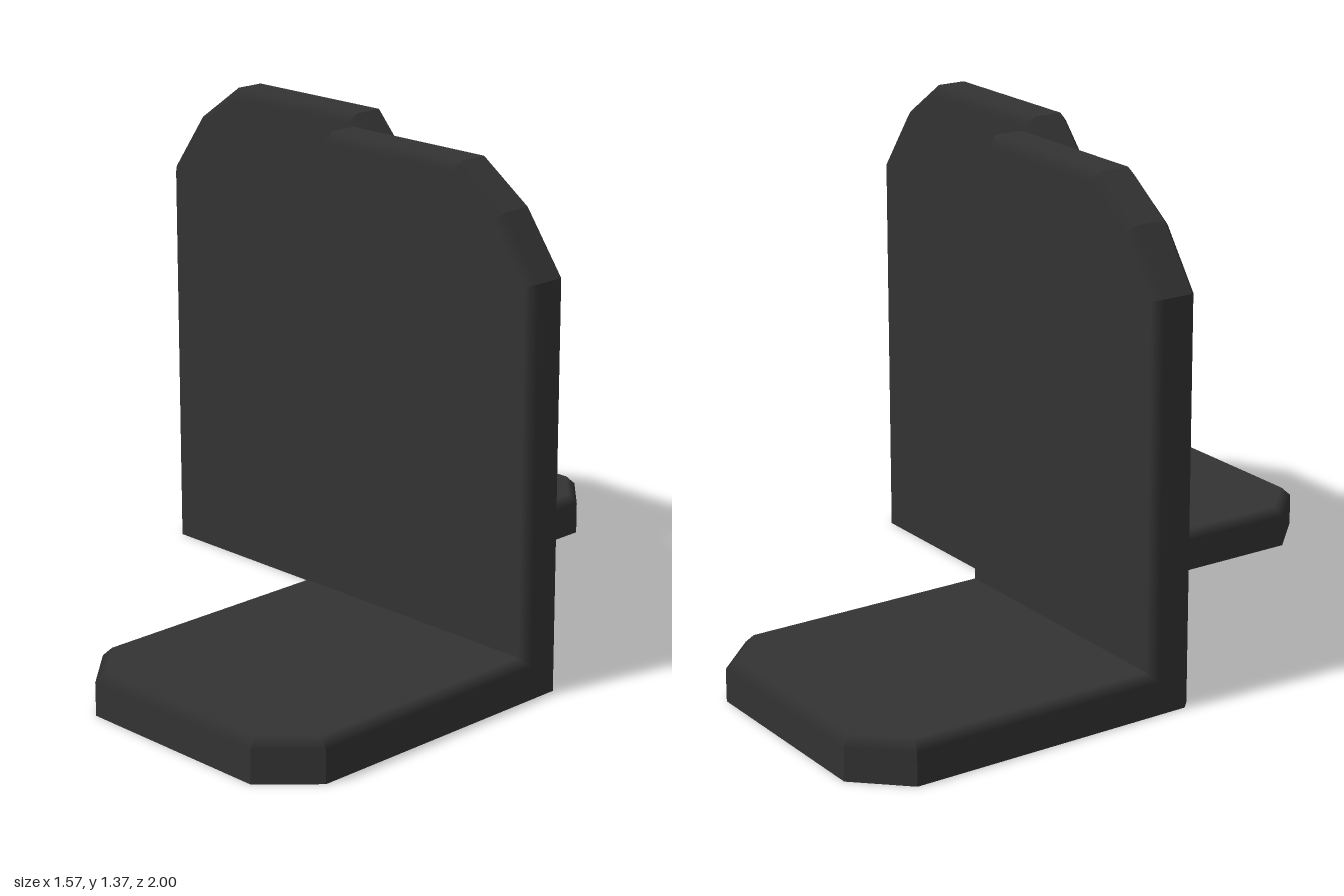
import * as THREE from 'three';

const BEVEL = 0.025;

// Convex plate from a counter-clockwise outline, from depth w0 to w1, with softly
// shaded bevels. The edge lying on v = flatV stays square.
function plate(outline, w0, w1, bevelLow, flatV) {
  const pts = outline.map(([u, v]) => new THREE.Vector2(u, v));
  const n = pts.length;
  const inward = pts.map((p, i) => {
    const e = pts[(i + 1) % n].clone().sub(p).normalize();
    return new THREE.Vector2(-e.y, e.x);
  });
  const inset = pts.map((p, i) => {
    const a = inward[(i + n - 1) % n], b = inward[i];
    const q = p.clone().addScaledVector(a.clone().add(b), BEVEL / (1 + a.dot(b)));
    if (p.y === flatV) q.y = flatV;
    return q;
  });

  const pos = [], nor = [];
  const put = (p, w, m) => { pos.push(p.x, p.y, w); nor.push(...m); };
  const quad = (a, b, c, d) => [a, b, c, a, c, d].forEach((k) => put(...k));
  const up = [0, 0, 1], down = [0, 0, -1];
  const lowRing = bevelLow ? inset : pts;
  const lowW = bevelLow ? w0 + BEVEL : w0;
  const highW = w1 - BEVEL;

  for (let i = 0; i < n; i++) {
    const j = (i + 1) % n;
    const side = [-inward[i].x, -inward[i].y, 0];
    const square = pts[i].y === flatV && pts[j].y === flatV;
    const top = square ? side : up, bottom = square ? side : down;
    // side wall
    quad([pts[i], lowW, side], [pts[j], lowW, side], [pts[j], highW, side], [pts[i], highW, side]);
    // bevels
    quad([pts[i], highW, side], [pts[j], highW, side], [inset[j], w1, top], [inset[i], w1, top]);
    if (bevelLow) {
      quad([inset[i], w0, bottom], [inset[j], w0, bottom], [pts[j], lowW, side], [pts[i], lowW, side]);
    }
    // caps
    if (i > 0 && i < n - 1) {
      [inset[0], inset[i], inset[j]].forEach((p) => put(p, w1, up));
      [lowRing[0], lowRing[j], lowRing[i]].forEach((p) => put(p, w0, down));
    }
  }
  const geo = new THREE.BufferGeometry();
  geo.setAttribute('position', new THREE.Float32BufferAttribute(pos, 3));
  geo.setAttribute('normal', new THREE.Float32BufferAttribute(nor, 3));
  return geo;
}

export function createModel() {
  const model = new THREE.Group();
  model.name = 'bookends';
  const charcoal = new THREE.MeshStandardMaterial({ color: 0x333333 });
  charcoal.name = 'charcoal';

  // upright panel with an uneven clipped top
  const uprightGeo = plate([
    [-0.04, 0], [0.785, 0], [0.785, 1.1], [0.67, 1.26],
    [0.52, 1.365], [0.055, 1.365], [-0.04, 1.26],
  ], 0.035, 0.167, true, 0);

  // foot plate with clipped front corners, laid flat
  const footGeo = plate([
    [-0.04, -0.87], [0.085, -1], [0.66, -1], [0.785, -0.87], [0.785, -0.14], [-0.04, -0.14],
  ], 0, 0.115, false, -0.14);
  footGeo.rotateX(-Math.PI / 2);

  // two identical bookends, back to back
  ['frontBookend', 'backBookend'].forEach((name, i) => {
    const bookend = new THREE.Group();
    bookend.name = name;
    const upright = new THREE.Mesh(uprightGeo, charcoal);
    upright.name = 'upright';
    const foot = new THREE.Mesh(footGeo, charcoal);
    foot.name = 'foot';
    bookend.add(upright, foot);
    bookend.rotation.y = i * Math.PI;
    model.add(bookend);
  });
  return model;
}
